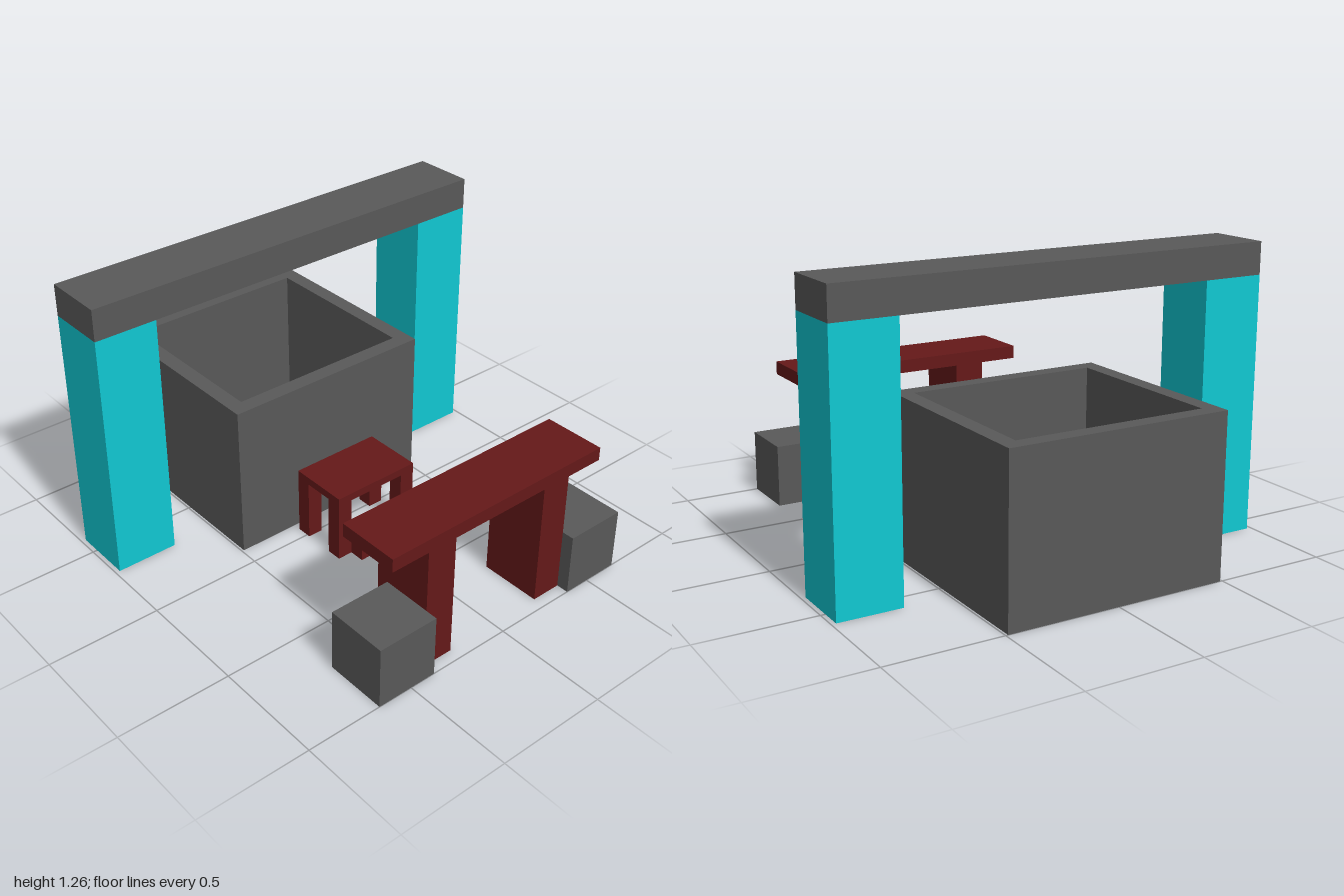
import * as THREE from 'three';

const stone = new THREE.MeshStandardMaterial({ color: 0x595959 });
const wood = new THREE.MeshStandardMaterial({ color: 0x651919 });
const cyan = new THREE.MeshStandardMaterial({ color: 0x10c8d2 });

// Box given by its min/max extents on each axis
function box(parent, name, material, [x0, x1], [y0, y1], [z0, z1]) {
  const mesh = new THREE.Mesh(new THREE.BoxGeometry(x1 - x0, y1 - y0, z1 - z0), material);
  mesh.position.set((x0 + x1) / 2, (y0 + y1) / 2, (z0 + z1) / 2);
  mesh.name = name;
  parent.add(mesh);
}

// The same box on both sides of x = 0
function pair(parent, name, material, [x0, x1], y, z) {
  box(parent, name + 'Left', material, [x0, x1], y, z);
  box(parent, name + 'Right', material, [-x1, -x0], y, z);
}

function part(root, name) {
  const group = new THREE.Group();
  group.name = name;
  root.add(group);
  return group;
}

// Four-legged step with a thin top
function step(root, name, halfWidth, height, z0, z1) {
  const g = part(root, name);
  const leg = 0.07, top = height - 0.035;
  box(g, 'stepTop', wood, [-halfWidth, halfWidth], [top, height], [z0, z1]);
  pair(g, 'backLeg', wood, [halfWidth - leg, halfWidth], [0, top], [z0, z0 + leg]);
  pair(g, 'frontLeg', wood, [halfWidth - leg, halfWidth], [0, top], [z1 - leg, z1]);
}

export function createModel() {
  const root = new THREE.Group();
  root.name = 'courtyardSet';

  // Gateway: two pillars and a lintel
  const gate = part(root, 'gateway');
  pair(gate, 'pillar', cyan, [0.7, 0.98], [0, 1.12], [-0.595, -0.315]);
  box(gate, 'lintel', stone, [-0.98, 0.98], [1.12, 1.26], [-0.595, -0.315]);

  // Square tub, open at top and bottom
  const w = 0.49, d = 0.455, t = 0.07;
  const rect = (C, a, b) => new C([[-a, -b], [a, -b], [a, b], [-a, b]].map(p => new THREE.Vector2(...p)));
  const outline = rect(THREE.Shape, w, d);
  outline.holes.push(rect(THREE.Path, w - t, d - t));
  const tubGeometry = new THREE.ExtrudeGeometry(outline, { depth: 0.7, bevelEnabled: false });
  tubGeometry.rotateX(-Math.PI / 2);
  const tub = new THREE.Mesh(tubGeometry, stone);
  tub.name = 'tubWalls';
  tub.position.z = -0.545;
  root.add(tub);

  // Two steps leading up to the tub
  step(root, 'tallStep', 0.21, 0.315, -0.055, 0.22);
  step(root, 'lowStep', 0.14, 0.175, 0.22, 0.5);

  // Table on two slab legs
  const table = part(root, 'table');
  box(table, 'tableTop', wood, [-0.56, 0.56], [0.56, 0.62], [0.665, 0.945]);
  pair(table, 'tableLeg', wood, [0.24, 0.38], [0, 0.56], [0.665, 0.945]);

  // Block seats beside the table legs
  pair(root, 'seat', stone, [0.38, 0.66], [0, 0.28], [0.72, 1]);

  return root;
}
